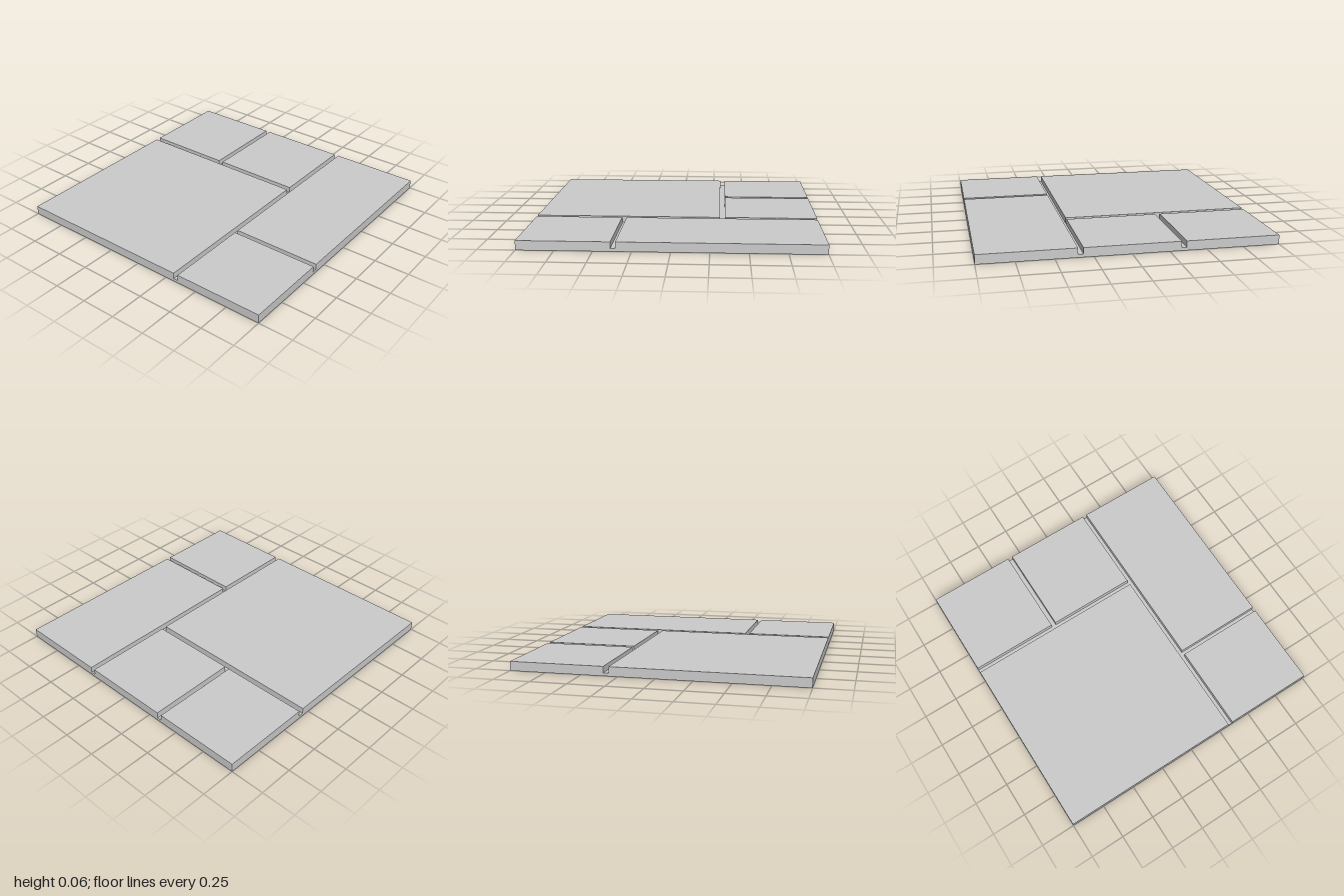
import * as THREE from 'three';

const STONE_TOP = 0.064;
const JOINT_TOP = 0.021;

// Joint edges between the slabs
const X_LEFT = [-0.385, -0.353];
const X_RIGHT = [0.31, 0.347];
const Z_BACK = [-0.363, -0.328];
const Z_FRONT = [0.318, 0.352];

export function createModel() {
  const group = new THREE.Group();
  group.name = 'pavingTile';
  const material = new THREE.MeshStandardMaterial({ color: 0xcccccc, flatShading: true });

  // Block standing on the ground between two corners
  const addBlock = (name, x0, x1, z0, z1, height) => {
    const mesh = new THREE.Mesh(new THREE.BoxGeometry(x1 - x0, height, z1 - z0), material);
    mesh.position.set((x0 + x1) / 2, height / 2, (z0 + z1) / 2);
    mesh.name = name;
    group.add(mesh);
  };

  // Raised paving slabs
  const slabs = [
    ['largeSlab', -1, X_RIGHT[0], -1, Z_FRONT[0]],
    ['backCornerSlab', X_RIGHT[1], 1, -1, Z_BACK[0]],
    ['sideSlab', X_RIGHT[1], 1, Z_BACK[1], Z_FRONT[0]],
    ['frontCornerSlab', -1, X_LEFT[0], Z_FRONT[1], 1],
    ['frontLongSlab', X_LEFT[1], 1, Z_FRONT[1], 1],
  ];
  for (const slab of slabs) addBlock(...slab, STONE_TOP);

  // Recessed joints filling the gaps
  const joints = [
    ['frontCrossJoint', -1, 1, ...Z_FRONT],
    ['backLengthJoint', ...X_RIGHT, -1, Z_FRONT[0]],
    ['backCrossJoint', X_RIGHT[1], 1, ...Z_BACK],
    ['frontLengthJoint', ...X_LEFT, Z_FRONT[1], 1],
  ];
  for (const joint of joints) addBlock(...joint, JOINT_TOP);

  return group;
}
